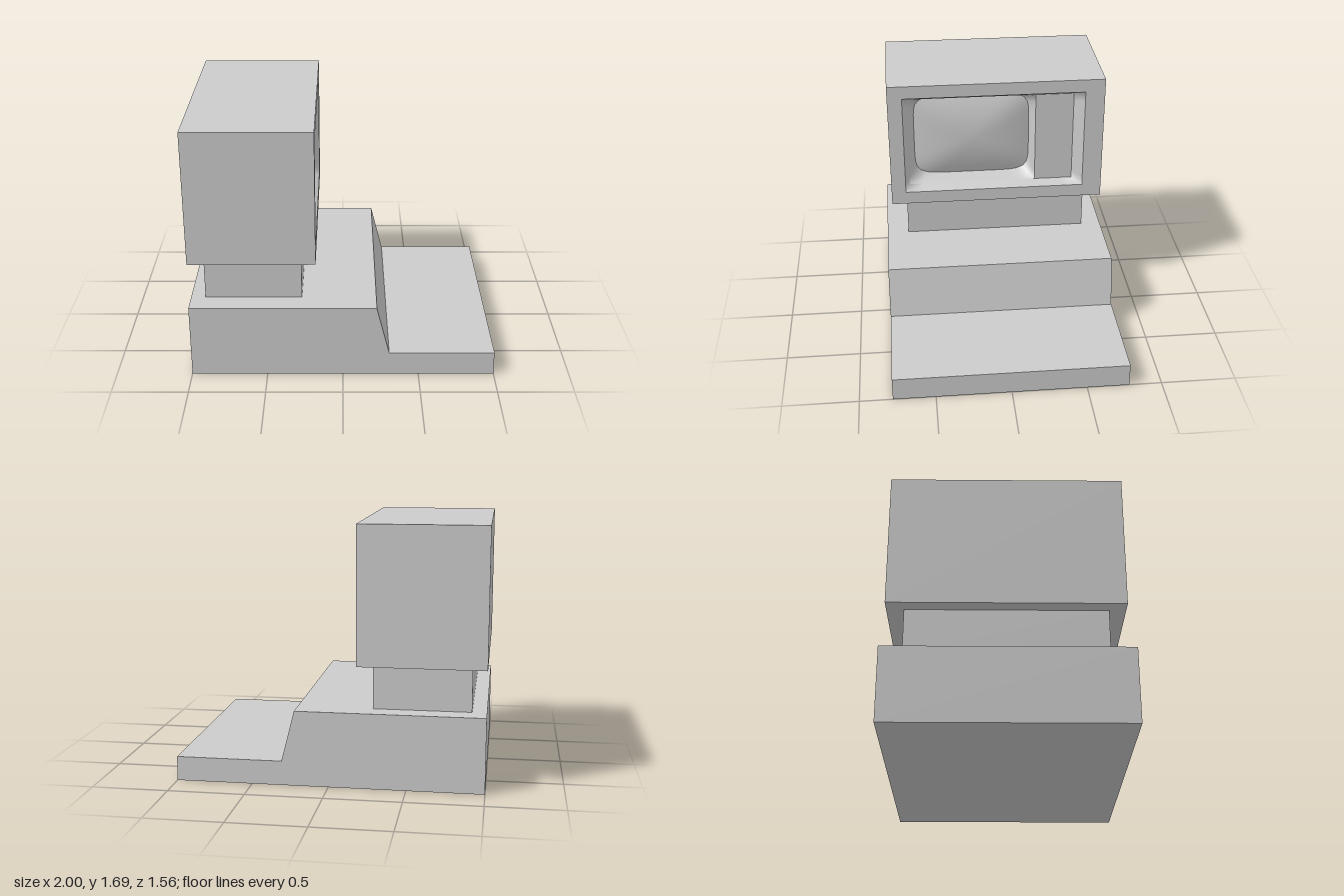
import * as THREE from 'three';

const material = new THREE.MeshStandardMaterial({ color: 0xcccccc });
const sheetMaterial = new THREE.MeshStandardMaterial({ color: 0xcccccc, side: THREE.DoubleSide });
const SEGMENTS = 64;
const FRONT = -0.175; // x of the monitor's face

function addMesh(group, name, geometry, mat = material) {
  const mesh = new THREE.Mesh(geometry, mat);
  mesh.name = name;
  group.add(mesh);
  return mesh;
}

// Box from its minimum and maximum corners
function boxBetween([x0, y0, z0], [x1, y1, z1]) {
  return new THREE.BoxGeometry(x1 - x0, y1 - y0, z1 - z0)
    .translate((x0 + x1) / 2, (y0 + y1) / 2, (z0 + z1) / 2);
}

// Closed ring facing +x: superellipse of power n, or a rectangle when n is Infinity
function ring(depth, zMin, zMax, yMin, yMax, n = Infinity) {
  const points = [];
  for (let i = 0; i < SEGMENTS; i++) {
    const t = (i / SEGMENTS) * Math.PI * 2;
    const c = Math.cos(t), s = Math.sin(t);
    const a = Math.abs(c), b = Math.abs(s);
    const r = n === Infinity ? 1 / Math.max(a, b) : 1 / Math.pow(a ** n + b ** n, 1 / n);
    points.push([
      FRONT - depth,
      (yMin + yMax) / 2 + r * s * (yMax - yMin) / 2,
      (zMin + zMax) / 2 - r * c * (zMax - zMin) / 2,
    ]);
  }
  return points;
}

// Surface through rings listed from outside to inside
function loft(rings) {
  const index = [];
  for (let k = 0; k < rings.length - 1; k++) {
    for (let i = 0; i < SEGMENTS; i++) {
      const j = (i + 1) % SEGMENTS;
      const a = k * SEGMENTS + i, b = k * SEGMENTS + j;
      index.push(a, b, b + SEGMENTS, a, b + SEGMENTS, a + SEGMENTS);
    }
  }
  const geometry = new THREE.BufferGeometry();
  geometry.setAttribute('position', new THREE.Float32BufferAttribute(rings.flat(2), 3));
  geometry.setIndex(index);
  geometry.computeVertexNormals();
  return geometry;
}

function rectangle(target, x0, x1, y0, y1) {
  target.moveTo(x0, y0).lineTo(x1, y0).lineTo(x1, y1).lineTo(x0, y1).closePath();
  return target;
}

export function createModel() {
  const model = new THREE.Group();
  model.name = 'computerTerminal';

  // Stepped base with a sloped riser and a low keyboard shelf
  const profile = new THREE.Shape([
    [-1, 0], [1, 0], [1, 0.16], [0.305, 0.16], [0.22, 0.495], [-1, 0.495],
  ].map(([x, y]) => new THREE.Vector2(x, y)));
  addMesh(model, 'base', new THREE.ExtrudeGeometry(profile, { depth: 1.564, bevelEnabled: false })
    .translate(0, 0, -0.782));

  // Neck between base and monitor
  addMesh(model, 'neck', boxBetween([-0.905, 0.495, -0.645], [-0.27, 0.79, 0.63]));

  const monitor = new THREE.Group();
  monitor.name = 'monitor';
  model.add(monitor);

  // Housing: a box without its +x face, closed by a frame with an opening
  const housing = boxBetween([-1, 0.79, -0.755], [FRONT, 1.69, 0.735]);
  housing.setIndex(Array.from(housing.index.array).slice(6));
  addMesh(monitor, 'housing', housing);
  const face = rectangle(new THREE.Shape(), -0.735, 0.755, 0.79, 1.69);
  face.holes.push(rectangle(new THREE.Path(), -0.635, 0.62, 0.88, 1.6));
  addMesh(monitor, 'faceFrame',
    new THREE.ShapeGeometry(face).rotateY(Math.PI / 2).translate(FRONT, 0, 0));

  // Recess: sloped rim, control panel beside the screen, curved hood down to the glass
  const opening = ring(0, -0.62, 0.635, 0.88, 1.6);
  const recess = ring(0.06, -0.55, 0.605, 0.912, 1.568);
  const hoodEdge = ring(0.06, -0.285, 0.605, 0.912, 1.568);
  const hoodMiddle = ring(0.11, -0.262, 0.58, 0.927, 1.553, 14);
  const screenEdge = [-0.25, 0.56, 0.94, 1.54];
  addMesh(monitor, 'recessRim', loft([opening, recess]), sheetMaterial);
  addMesh(monitor, 'controlPanel', loft([recess, hoodEdge]), sheetMaterial);
  addMesh(monitor, 'screenHood', loft([hoodEdge, hoodMiddle, ring(0.165, ...screenEdge, 7)]), sheetMaterial);

  // Bulging screen glass
  const [z0, z1, y0, y1] = screenEdge;
  const zc = (z0 + z1) / 2, yc = (y0 + y1) / 2;
  const glassRings = [];
  for (let k = 0; k <= 10; k++) {
    const f = 1 - k / 10;
    const lerp = (c, v) => c + (v - c) * f;
    glassRings.push(ring(0.105 + 0.06 * f * f,
      lerp(zc, z0), lerp(zc, z1), lerp(yc, y0), lerp(yc, y1), 2 + 5 * f));
  }
  addMesh(monitor, 'screen', loft(glassRings), sheetMaterial);

  return model;
}
